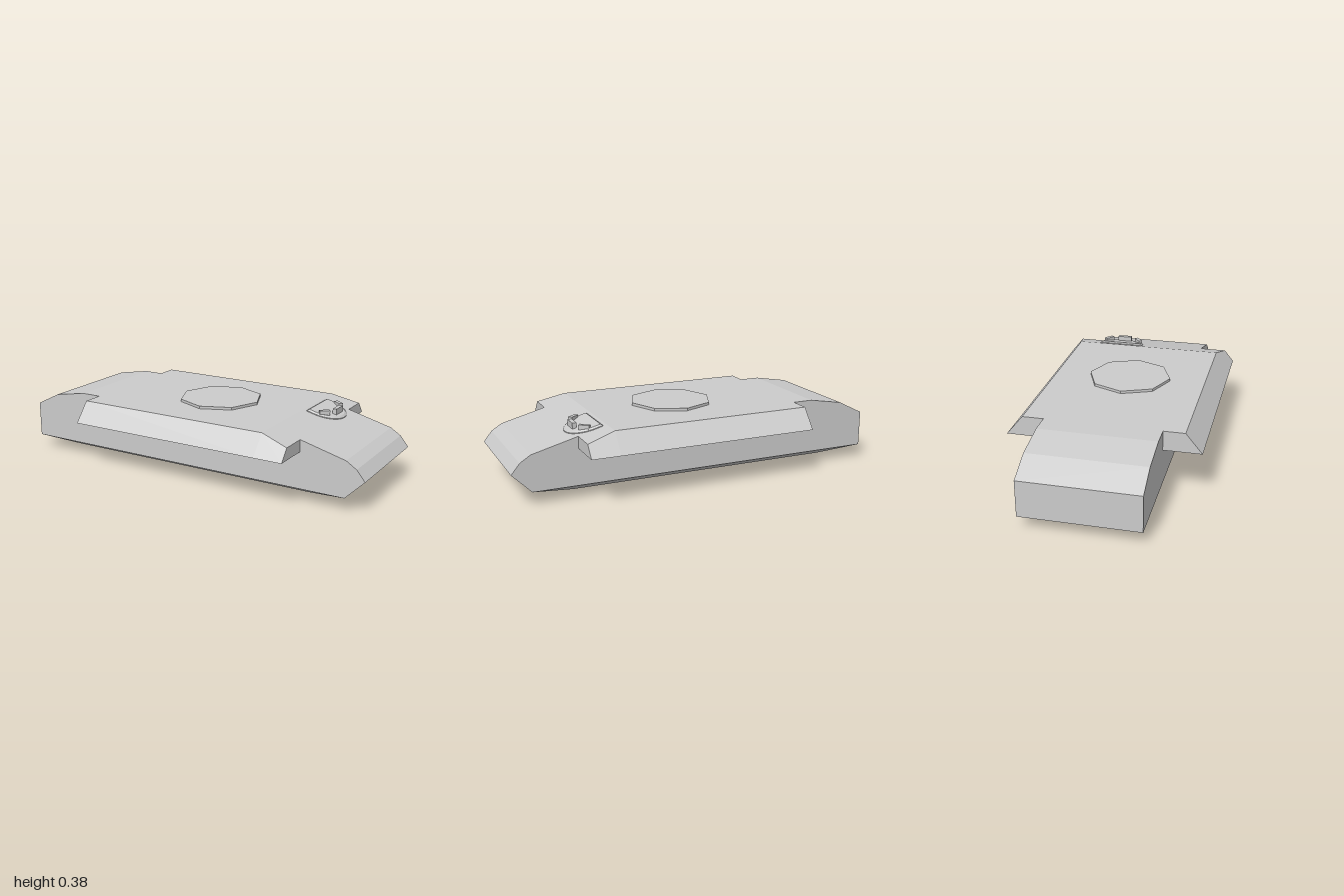
import * as THREE from 'three';

const material = new THREE.MeshStandardMaterial({ color: 0xcccccc, flatShading: true });

function part(name, geometry) {
  const mesh = new THREE.Mesh(geometry, material);
  mesh.name = name;
  return mesh;
}

// Closed faceted solid through rings of points, counter-clockwise about the loft direction
function loft(rings) {
  const pos = [];
  const tri = (...points) => points.forEach((p) => pos.push(...p));
  const n = rings[0].length;
  for (let i = 0; i < rings.length - 1; i++) {
    for (let j = 0; j < n; j++) {
      const k = (j + 1) % n;
      const [a, b, c, d] = [rings[i][j], rings[i][k], rings[i + 1][k], rings[i + 1][j]];
      tri(a, b, c);
      tri(a, c, d);
    }
  }
  const first = rings[0];
  const last = rings[rings.length - 1];
  for (let j = 1; j < n - 1; j++) {
    tri(first[0], first[j + 1], first[j]);
    tri(last[0], last[j], last[j + 1]);
  }
  const geometry = new THREE.BufferGeometry();
  geometry.setAttribute('position', new THREE.Float32BufferAttribute(pos, 3));
  geometry.computeVertexNormals();
  return geometry;
}

const DECK = 0.363;
const SLOPE_START = 0.51;
const SLOPE = 0.267;
const deckHeight = (x) => DECK - SLOPE * Math.max(0, x - SLOPE_START);

// Hull: side profile extruded across the width
function hull() {
  const profile = [
    [-1, 0.07], [0.9, 0.07], [1, 0.17], [0.955, 0.225], [0.9, 0.26],
    [0.69, deckHeight(0.69)], [SLOPE_START, DECK], [-0.67, DECK], [-0.86, 0.33], [-1, 0.26],
  ].map(([x, y]) => new THREE.Vector2(x, y));
  const geometry = new THREE.ExtrudeGeometry(new THREE.Shape(profile), { depth: 0.6, bevelEnabled: false });
  geometry.translate(0, 0, -0.3);
  return part('hull', geometry);
}

// Belly: tapered pan under the hull
function belly() {
  const ring = (x0, x1, z, y) => [[x1, y, z], [x1, y, -z], [x0, y, -z], [x0, y, z]];
  return part('belly', loft([ring(-0.82, 0.65, 0.155, 0), ring(-1, 0.9, 0.3, 0.07)]));
}

// Sponson: overhang with a sloping outer face, its front top following the glacis
function sponson(side) {
  const rings = [-0.56, SLOPE_START, 0.66].map((x) => {
    const top = deckHeight(x);
    const outer = 0.495 - (0.085 * (top - 0.26)) / (DECK - 0.26);
    const ring = [[x, 0.26, 0.3], [x, top, 0.3], [x, top, outer], [x, 0.26, 0.495]]
      .map(([px, py, pz]) => [px, py, pz * side]);
    return side > 0 ? ring : ring.reverse();
  });
  return part(side > 0 ? 'leftSponson' : 'rightSponson', loft(rings));
}

// Turret ring: shallow octagonal plate
function turretRing() {
  const mesh = part('turretRing', new THREE.CylinderGeometry(0.222, 0.222, 0.027, 8));
  mesh.position.set(0.04, 0.3635, 0);
  return mesh;
}

// Driver hatch: half-round plate lying on the glacis, with three periscopes
function driverHatch() {
  const group = new THREE.Group();
  group.name = 'driverHatch';
  const bevel = 0.01;
  const centreZ = -0.17;
  const shape = new THREE.Shape();
  shape.moveTo(0.53 + bevel, -0.125 + bevel);
  shape.lineTo(0.57, -0.125 + bevel);
  shape.absellipse(0.57, 0, 0.12 - bevel, 0.125 - bevel, -Math.PI / 2, Math.PI / 2, false);
  shape.lineTo(0.53 + bevel, 0.125 - bevel);
  const plate = new THREE.ExtrudeGeometry(shape, {
    depth: 0.02, curveSegments: 16, bevelSize: bevel, bevelThickness: 0.008, bevelSegments: 1,
  });
  plate.rotateX(-Math.PI / 2);
  plate.translate(0, -0.016, centreZ);
  // Shear the plate so that it follows the sloping deck
  const p = plate.attributes.position;
  for (let i = 0; i < p.count; i++) p.setY(i, p.getY(i) + deckHeight(p.getX(i)));
  plate.computeVertexNormals();
  group.add(part('hatchPlate', plate));

  [[0.615, 0.09, 0.055, 0.9], [0.65, 0, 0.08, 0], [0.615, -0.09, 0.055, -0.9]].forEach(([x, z, width, turn]) => {
    const periscope = part('periscope', new THREE.BoxGeometry(0.022, 0.036, width));
    periscope.position.set(x, 0.348, centreZ + z);
    periscope.rotation.y = -turn;
    group.add(periscope);
  });
  return group;
}

export function createModel() {
  const model = new THREE.Group();
  model.name = 'armouredHull';
  model.add(hull(), belly(), sponson(1), sponson(-1), turretRing(), driverHatch());
  return model;
}
